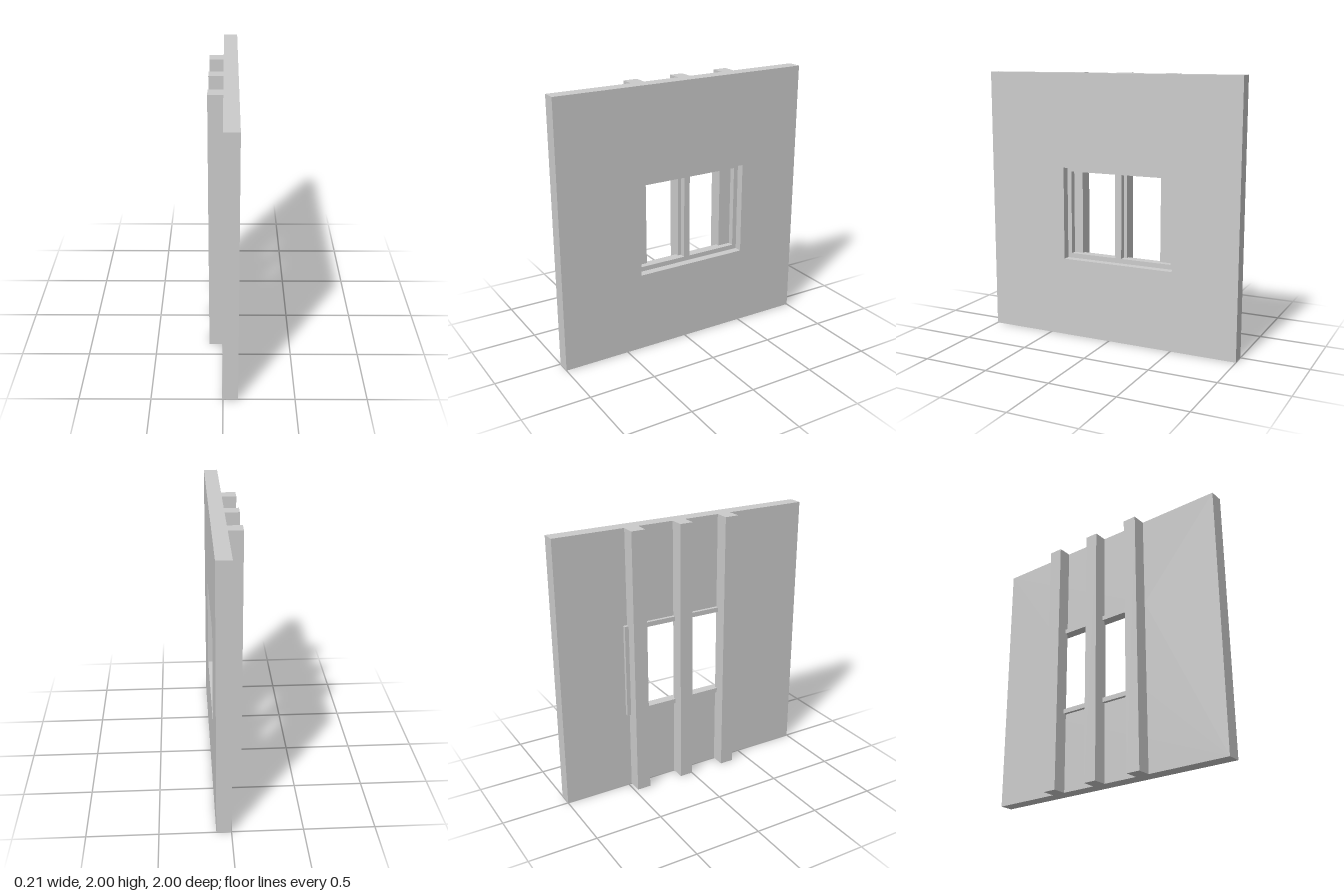
import * as THREE from 'three';

const material = new THREE.MeshStandardMaterial({ color: 0xcccccc, flatShading: true });

// Rectangle in the wall plane, given as z and y ranges (shape u = -z)
function rect(Type, z0, z1, y0, y1) {
  const p = new Type();
  p.moveTo(-z1, y0);
  p.lineTo(-z0, y0);
  p.lineTo(-z0, y1);
  p.lineTo(-z1, y1);
  p.closePath();
  return p;
}

// Panel lying in the z-y plane, with openings, spanning x0..x1
function panel(name, outer, openings, x0, x1) {
  const shape = rect(THREE.Shape, ...outer);
  for (const o of openings) shape.holes.push(rect(THREE.Path, ...o));
  const geometry = new THREE.ExtrudeGeometry(shape, { depth: x1 - x0, bevelEnabled: false });
  geometry.rotateY(Math.PI / 2).translate(x0, 0, 0);
  const mesh = new THREE.Mesh(geometry, material);
  mesh.name = name;
  return mesh;
}

export function createModel() {
  const group = new THREE.Group();
  group.name = 'wallWithWindow';

  const opening = [-0.505, 0.375, 0.6, 1.3];

  // Wall slab with the window opening
  group.add(panel('wall', [-1, 1, 0, 2], [opening], 0, 0.105));

  // Window frame with two lights, recessed in the wall and proud at the back
  const lights = [
    [-0.47, -0.075, 0.635, 1.265],
    [-0.028, 0.342, 0.635, 1.265],
  ];
  group.add(panel('windowFrame', opening, lights, -0.025, 0.045));

  // Full-height posts behind the wall
  for (const [z0, z1] of [[-0.475, -0.37], [-0.1, 0], [0.27, 0.375]]) {
    const post = new THREE.Mesh(new THREE.BoxGeometry(0.105, 2, z1 - z0), material);
    post.position.set(-0.0525, 1, (z0 + z1) / 2);
    post.name = 'post';
    group.add(post);
  }
  return group;
}
